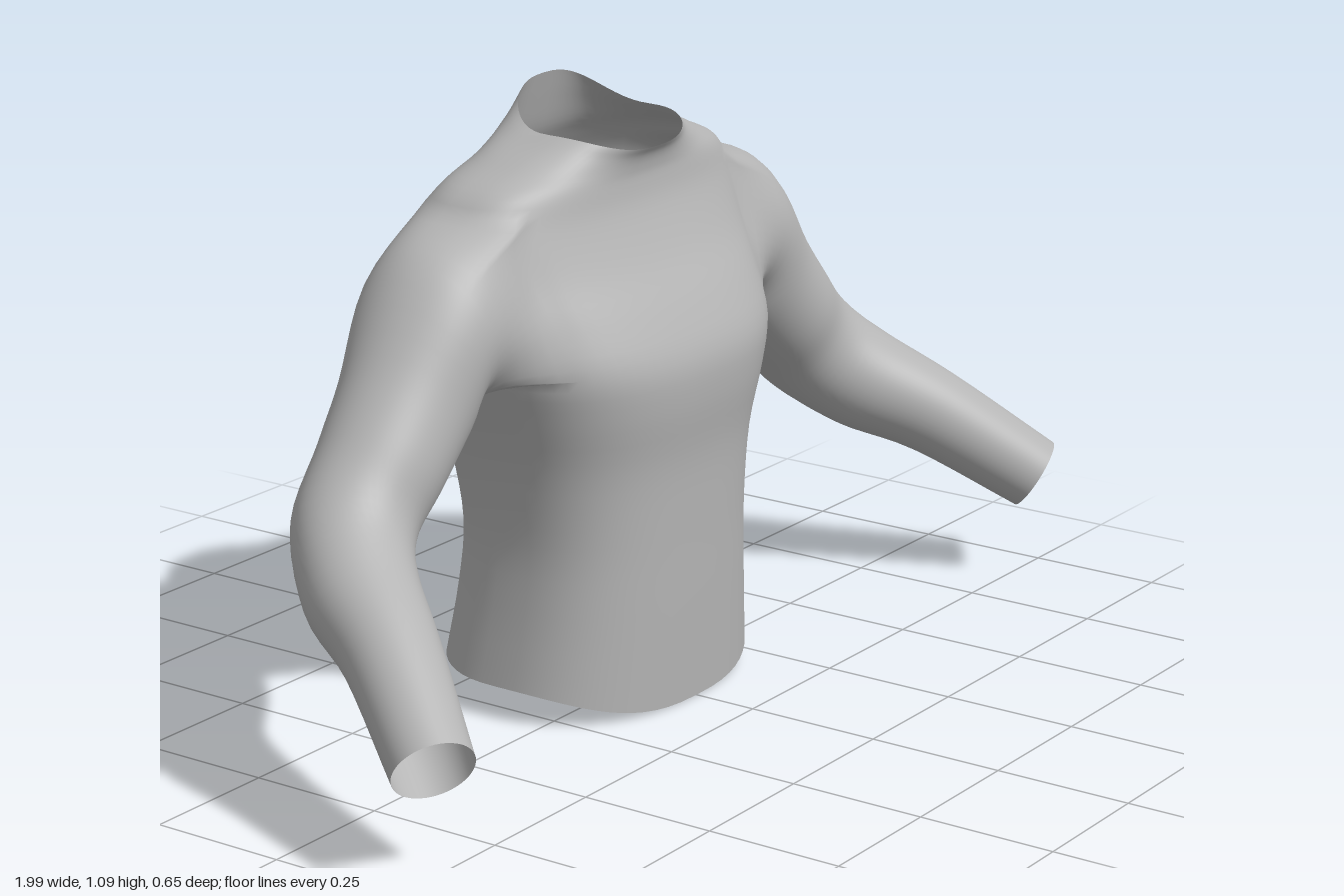
import * as THREE from 'three';

const COLS = 64;   // points around the torso
const STEP = 4;    // rows between two torso sections
const HALF = 7;    // half size of the square armhole patch, in cells
const ARM_ROW = 27; // torso row at the middle of the armhole

// Torso sections: height, front drop, back rise, half width, front z, back z
const SECTIONS = [
  [0.06, -0.06, 0.022, 0.30, 0.13, -0.305],
  [0.20, -0.02, 0.005, 0.28, 0.135, -0.285],
  [0.32, 0, 0, 0.272, 0.138, -0.277],
  [0.45, 0, 0, 0.288, 0.143, -0.296],
  [0.56, 0, 0, 0.32, 0.158, -0.318],
  [0.64, 0, 0, 0.348, 0.156, -0.332],
  [0.72, 0, 0, 0.365, 0.12, -0.343],
  [0.80, 0, 0, 0.38, 0.072, -0.333],
  [0.88, 0, 0, 0.375, 0.037, -0.302],
  [0.94, -0.01, 0, 0.33, 0.027, -0.262],
  [0.975, -0.02, 0.005, 0.25, 0.028, -0.237],
  [1.0, -0.025, 0.035, 0.19, 0.034, -0.217],
  [1.02, -0.03, 0.068, 0.15, 0.045, -0.2],
];

// Sleeve rings from shoulder to cuff: centre x, y, z and radius
const RINGS = [
  [0.44, 0.73, -0.115, 0.138],
  [0.52, 0.625, -0.105, 0.118],
  [0.60, 0.54, -0.097, 0.11],
  [0.685, 0.455, -0.085, 0.105],
  [0.76, 0.38, -0.01, 0.098],
  [0.83, 0.315, 0.11, 0.082],
  [0.935, 0.195, 0.272, 0.07],
];

const spline = (points) => new THREE.CatmullRomCurve3(points, false, 'catmullrom', 0.5);

// A point on a rounded-box torso section, with a shallow spine groove
function torsoPoint([y, drop, rise, w, front, back], angle) {
  const c = Math.cos(angle), s = Math.sin(angle);
  const bend = (v) => Math.sign(v) * Math.abs(v) ** 0.78;
  const x = w * bend(c);
  let z = (front + back) / 2 + ((front - back) / 2) * bend(s);
  if (s < 0) z -= 0.032 * s * Math.exp(-((x / 0.12) ** 2) - ((y - 0.7) / 0.2) ** 2);
  return new THREE.Vector3(x, y + s * s * (s > 0 ? drop : rise), z);
}

// Centre, forward and up directions of each sleeve ring
function sleeveFrames() {
  const centres = RINGS.map(([x, y, z]) => new THREE.Vector3(x, y, z));
  const before = new THREE.Vector3(0.2, 0.74, -0.12);
  return centres.map((centre, i) => {
    const dir = (centres[i + 1] ?? centre).clone().sub(centres[i - 1] ?? before).normalize();
    const up = new THREE.Vector3(0, 1, 0).addScaledVector(dir, -dir.y).normalize();
    return { centre, up, forward: dir.clone().cross(up), radius: RINGS[i][3] };
  });
}

export function createModel() {
  const verts = [];
  const torso = [], sleeves = { 1: [], '-1': [] };
  const addQuad = (list, a, b, c, d) => list.push(a, b, d, b, c, d);

  // Torso: smooth columns through the sections
  const rows = (SECTIONS.length - 1) * STEP;
  for (let j = 0; j < COLS; j++) {
    const angle = (j / COLS) * Math.PI * 2;
    const column = spline(SECTIONS.map((s) => torsoPoint(s, angle)));
    for (let i = 0; i <= rows; i++) verts.push(column.getPoint(i / rows));
  }
  const at = (j, i) => ((j + COLS) % COLS) * (rows + 1) + i;
  const inside = (mid, j) => {
    const d = (j - mid + COLS * 1.5) % COLS - COLS / 2;
    return d >= -HALF && d < HALF;
  };
  for (let j = 0; j < COLS; j++) {
    for (let i = 0; i < rows; i++) {
      const armRow = i >= ARM_ROW - HALF && i < ARM_ROW + HALF;
      if (armRow && (inside(0, j) || inside(COLS / 2, j))) continue; // armholes
      addQuad(torso, at(j, i), at(j, i + 1), at(j + 1, i + 1), at(j + 1, i));
    }
  }

  // Sleeves: grow from the armhole edge through the rings to the cuff
  const frames = sleeveFrames();
  const steps = RINGS.length * 5;
  const around = HALF * 8;
  for (const side of [1, -1]) {
    const grid = [];
    for (let k = 0; k < around; k++) {
      const m = k % (2 * HALF) - HALF;
      const [u, v] = [[HALF, m], [-m, HALF], [-HALF, -m], [m, -HALF]][Math.floor(k / (2 * HALF))];
      const start = at(side > 0 ? u : COLS / 2 - u, ARM_ROW + v);
      const a = Math.atan2(v, u);
      const points = frames.map((f) => f.centre.clone()
        .addScaledVector(f.forward, Math.cos(a) * f.radius)
        .addScaledVector(f.up, Math.sin(a) * f.radius));
      points.forEach((p) => { p.x *= side; });
      const line = spline([verts[start], ...points]);
      const ids = [start];
      for (let i = 1; i <= steps; i++) ids.push(verts.push(line.getPoint(i / steps)) - 1);
      grid.push(ids);
    }
    for (let k = 0; k < around; k++) {
      const p = grid[k], q = grid[(k + 1) % around];
      for (let i = 0; i < steps; i++) {
        if (side > 0) addQuad(sleeves[side], p[i], p[i + 1], q[i + 1], q[i]);
        else addQuad(sleeves[side], p[i], q[i], q[i + 1], p[i + 1]);
      }
    }
  }

  // Shared smooth normals keep the shoulder seams invisible
  const whole = new THREE.BufferGeometry().setFromPoints(verts);
  whole.setIndex([...torso, ...sleeves[1], ...sleeves[-1]]);
  whole.computeVertexNormals();

  const fabric = new THREE.MeshStandardMaterial({ color: 0xb4b4b4, side: THREE.DoubleSide });
  fabric.name = 'grey fabric';
  const group = new THREE.Group();
  group.name = 'shirt';
  const addPart = (name, index) => {
    const geometry = new THREE.BufferGeometry();
    geometry.setAttribute('position', whole.getAttribute('position'));
    geometry.setAttribute('normal', whole.getAttribute('normal'));
    geometry.setIndex(index);
    const mesh = new THREE.Mesh(geometry, fabric);
    mesh.name = name;
    group.add(mesh);
  };
  addPart('torso', torso);
  addPart('leftSleeve', sleeves[1]);
  addPart('rightSleeve', sleeves[-1]);
  return group;
}
